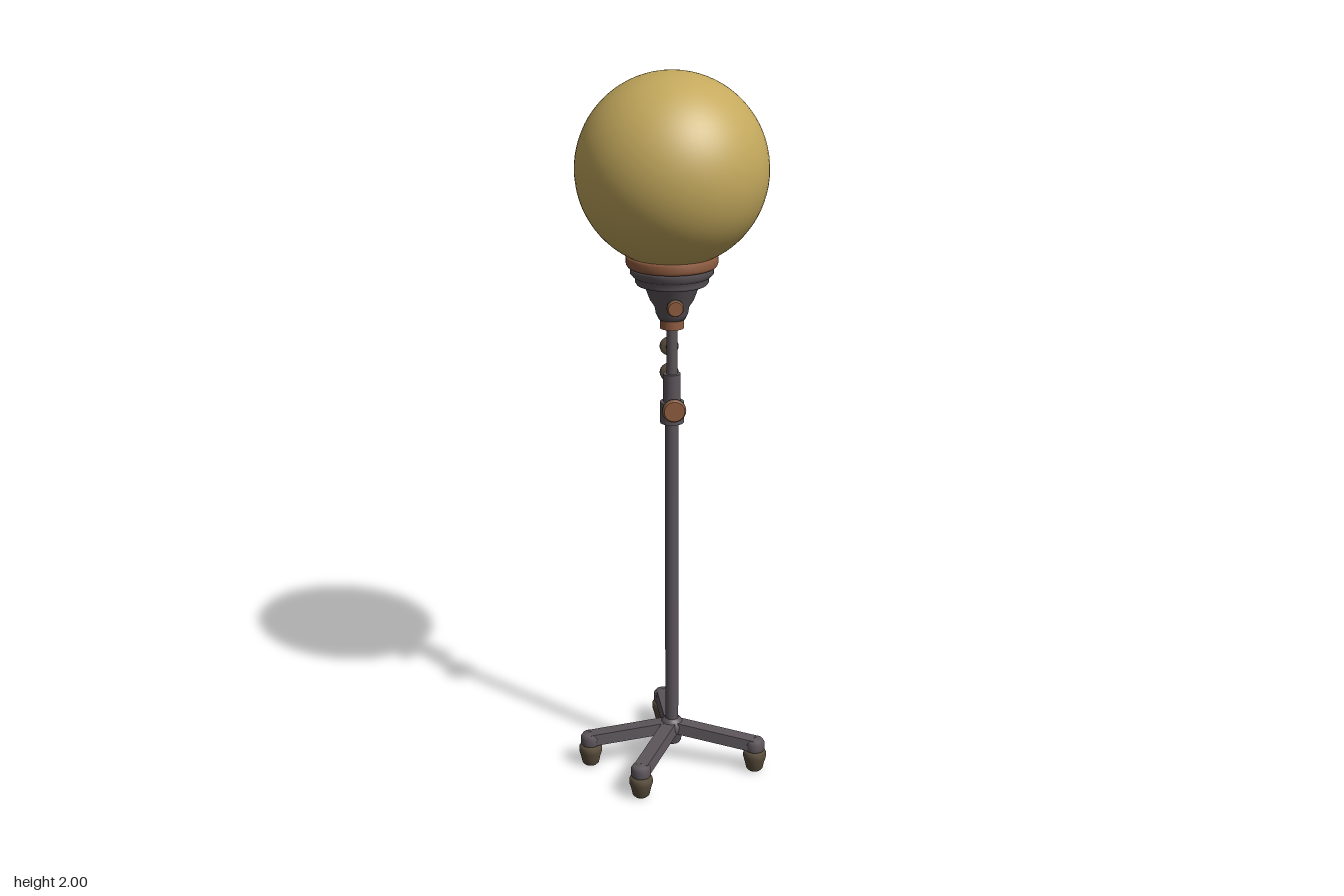
import * as THREE from 'three';

const mat = (name, color) => {
  const m = new THREE.MeshStandardMaterial({ color });
  m.name = name;
  return m;
};

export function createModel() {
  const globeYellow = mat('globe yellow', 0xc4a95d);
  const metal = mat('dark metal', 0x5c555a);
  const copper = mat('copper', 0x8f5c40);
  const brown = mat('olive brown', 0x594d3c);

  const root = new THREE.Group();
  root.name = 'globeFloorLamp';
  const CX = 0.004, CZ = 0.004;

  const add = (parent, name, geometry, material, x = 0, y = 0, z = 0) => {
    const mesh = new THREE.Mesh(geometry, material);
    mesh.name = name;
    mesh.position.set(x, y, z);
    parent.add(mesh);
    return mesh;
  };
  // Profile points are [radius, height]; doubled corners keep edges crisp
  const lathe = (points, segments = 32) =>
    new THREE.LatheGeometry(points.map(([r, y]) => new THREE.Vector2(r, y)), segments);
  const rod = (name, r, y0, y1, material = metal) =>
    add(root, name, new THREE.CylinderGeometry(r, r, y1 - y0, 24), material, CX, (y0 + y1) / 2, CZ);

  // Globe
  add(root, 'globe', new THREE.SphereGeometry(0.258, 64, 40), globeYellow, CX, 1.742, CZ);

  // Stepped cup that carries the globe
  const cup = lathe([
    [0, 1.335], [0.036, 1.335], [0.044, 1.352], [0.047, 1.37], [0.06, 1.39],
    [0.074, 1.428], [0.08, 1.432], [0.096, 1.434], [0.1, 1.44], [0.098, 1.452],
    [0.106, 1.456], [0.113, 1.464], [0.113, 1.474], [0.116, 1.485], [0, 1.485],
  ], 40);
  add(root, 'cup', cup, metal, CX, 0, CZ);
  add(root, 'cupRim', lathe([
    [0.105, 1.482], [0.12, 1.483], [0.124, 1.49], [0.124, 1.507], [0.12, 1.514],
    [0.108, 1.515], [0.085, 1.505],
  ], 40), copper, CX, 0, CZ);
  rod('cupNeck', 0.033, 1.31, 1.337, copper);

  // Telescopic pole
  rod('pole', 0.019, 0.09, 1.05);
  rod('lowerCollar', 0.033, 1.04, 1.1);
  rod('upperCollar', 0.024, 1.1, 1.18);
  rod('upperRod', 0.015, 1.18, 1.32);

  // Clamp knobs, dir is +1 for front and -1 for back
  const knob = (name, y, dir, start, end, r, capMaterial) => {
    const g = new THREE.Group();
    g.name = name;
    g.position.set(CX, y, CZ);
    g.rotation.x = dir * Math.PI / 2;
    const t = 0.018;
    add(g, 'stem', new THREE.CylinderGeometry(0.01, 0.01, end - start, 16), metal, 0, (start + end) / 2, 0);
    add(g, 'grip', lathe([
      [0, end - t], [r * 0.7, end - t], [r, end - t * 0.65], [r, end - t * 0.3], [r * 0.85, end], [0, end],
    ], 24), brown);
    if (capMaterial) {
      add(g, 'cap', new THREE.CylinderGeometry(r * 0.85, r * 0.95, 0.005, 24), capMaterial, 0, end, 0);
    }
    root.add(g);
  };
  knob('cupKnob', 1.382, 1, 0.03, 0.078, 0.023, copper);
  knob('frontKnob', 1.088, 1, 0.02, 0.056, 0.033, copper);
  knob('lowerBackKnob', 1.165, -1, 0.01, 0.07, 0.026);
  knob('upperBackKnob', 1.24, -1, 0.01, 0.07, 0.026);

  // Hub under the pole
  add(root, 'hub', lathe([
    [0, 0.055], [0.024, 0.055], [0.027, 0.06], [0.03, 0.08], [0.036, 0.095],
    [0.036, 0.112], [0.026, 0.128], [0.018, 0.132],
  ], 24), metal, CX, 0, CZ);

  // Sloping legs with casters
  const feet = [[-0.235, 0.01], [0.008, -0.235], [0.233, 0.104], [-0.11, 0.213]];
  for (const [fx, fz] of feet) {
    const leg = new THREE.Group();
    leg.name = 'leg';
    leg.position.set(CX, 0, CZ);
    const dx = fx - CX, dz = fz - CZ, length = Math.hypot(dx, dz);
    leg.rotation.y = Math.atan2(-dz, dx);
    const bar = new THREE.BoxGeometry(length, 0.032, 0.046);
    bar.translate(length / 2, 0, 0);
    const p = bar.attributes.position;
    for (let i = 0; i < p.count; i++) {
      const t = p.getX(i) / length;
      p.setY(i, p.getY(i) + 0.108 - 0.026 * t);
      // Slight chamfer toward the top
      p.setZ(i, p.getZ(i) * (p.getY(i) > 0.108 - 0.026 * t ? 0.85 : 1.05));
    }
    bar.computeVertexNormals();
    add(leg, 'legBar', bar, metal);
    add(leg, 'legEnd', lathe([
      [0, 0.062], [0.026, 0.062], [0.028, 0.068], [0.028, 0.088], [0.022, 0.097], [0, 0.099],
    ], 24), metal, length, 0, 0);
    add(leg, 'caster', lathe([
      [0, 0], [0.018, 0], [0.024, 0.006], [0.028, 0.025], [0.033, 0.042],
      [0.033, 0.055], [0.028, 0.064], [0, 0.066],
    ], 20), brown, length, 0, 0);
    root.add(leg);
  }

  return root;
}
